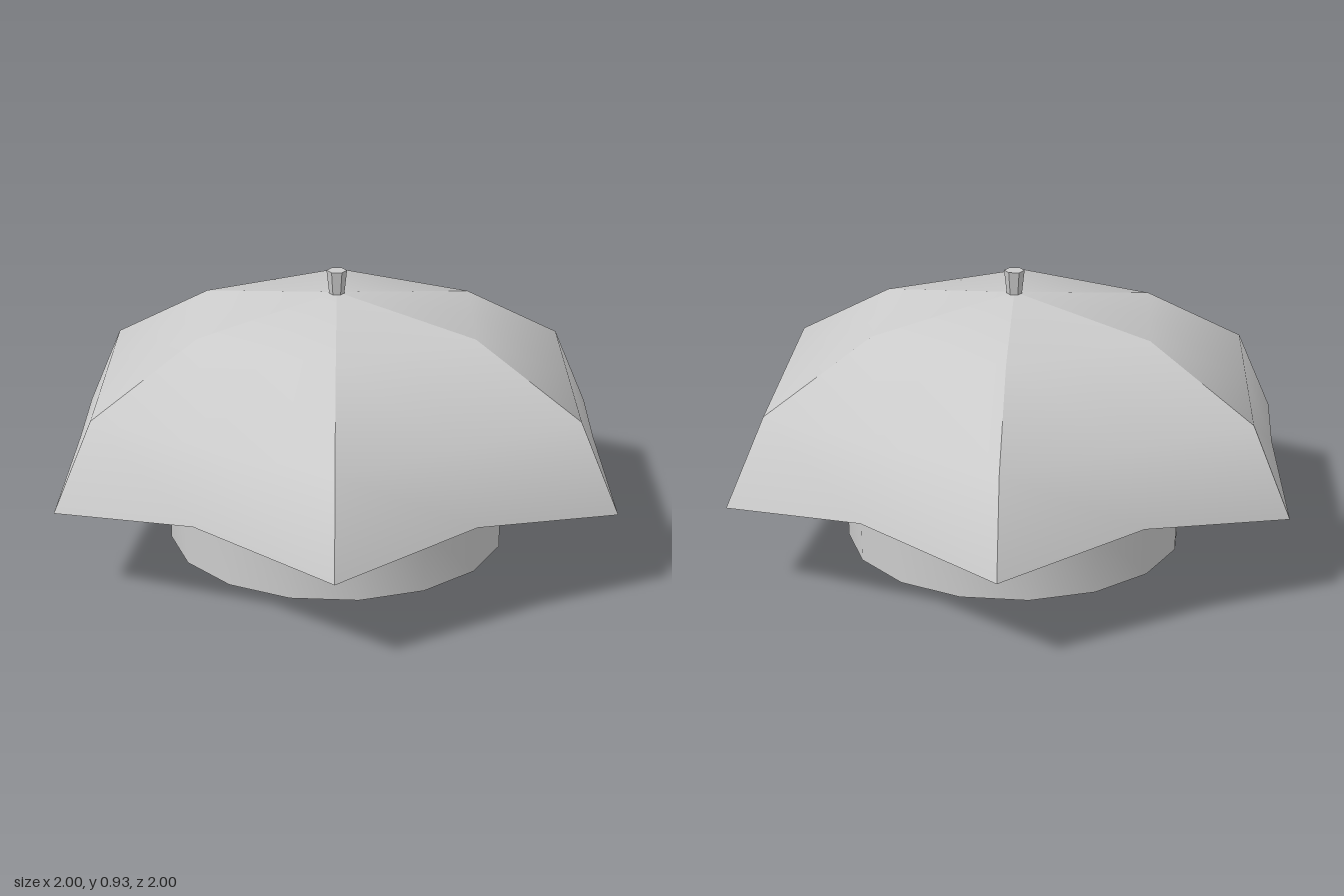
import * as THREE from 'three';
import { mergeGeometries, toCreasedNormals } from 'three/addons/utils/BufferGeometryUtils.js';

const RIM_Y = 0.28, RADIUS = 1.035, RISE = 0.575;
const rad = THREE.MathUtils.degToRad;
const material = new THREE.MeshStandardMaterial({ color: 0xcccccc });

// Point at an angle measured from +z towards +x
const polar = (deg, r, y) => new THREE.Vector3(Math.sin(rad(deg)) * r, y, Math.cos(rad(deg)) * r);

// Smooth surface through rows of points, each row running left to right
function surface(rows, closedTop = false) {
  const cols = rows[0].length, index = [];
  for (let i = 0; i < rows.length - 1; i++) {
    for (let j = 0; j < cols - 1; j++) {
      const a = i * cols + j, b = a + cols;
      index.push(a, b, b + 1);
      if (!(closedTop && i === 0)) index.push(a, b + 1, a + 1);
    }
  }
  const geometry = new THREE.BufferGeometry().setFromPoints(rows.flat());
  geometry.setIndex(index);
  geometry.computeVertexNormals();
  return geometry;
}

// One canopy panel between two ribs: outside, lining and scalloped rim
function panel(startDeg) {
  const rows = [0, 30, 60, 90].map((t) => {
    const r = RADIUS * Math.sin(rad(t)), y = RIM_Y + RISE * Math.cos(rad(t));
    const left = polar(startDeg, r, y), right = polar(startDeg + 60, r, y);
    return [left, left.clone().lerp(right, 0.5), right];
  });
  rows[3][1].lerp(rows[2][1], 0.21);
  const lining = rows.map((row) => row.map((p) =>
    new THREE.Vector3(p.x * 0.95, RIM_Y + (p.y - RIM_Y) * 0.94, p.z * 0.95)));
  return [
    surface(rows, true),
    surface(lining.map((row) => [...row].reverse()), true),
    surface([rows[3], lining[3]]),
  ];
}

export function createModel() {
  const model = new THREE.Group();
  const add = (name, geometry) => {
    const mesh = new THREE.Mesh(geometry, material);
    mesh.name = name;
    model.add(mesh);
    return mesh;
  };

  // Six-panel umbrella canopy
  const panels = [];
  for (let i = 0; i < 6; i++) panels.push(...panel(45 + i * 60));
  add('canopy', mergeGeometries(panels));

  // Headband: closed ring with 16 sides
  const profile = [[0.52, 0], [0.57, 0], [0.57, 0.215], [0.52, 0.215], [0.52, 0]]
    .map(([r, y]) => new THREE.Vector2(r, y));
  const band = new THREE.LatheGeometry(profile, 16);
  add('headband', toCreasedNormals(band, rad(35))).rotation.y = rad(7.5);

  // Four struts joining headband and canopy
  for (let i = 0; i < 4; i++) {
    const deg = 30 + i * 90;
    const strut = add('strut', new THREE.BoxGeometry(0.046, 0.59, 0.046));
    strut.position.copy(polar(deg, 0.54, 0.395));
    strut.rotation.y = rad(deg);
  }

  // Flared knob on top
  const knob = add('knob', toCreasedNormals(new THREE.CylinderGeometry(0.034, 0.024, 0.09, 6), rad(35)));
  knob.position.y = 0.885;
  knob.rotation.y = rad(15);

  return model;
}
